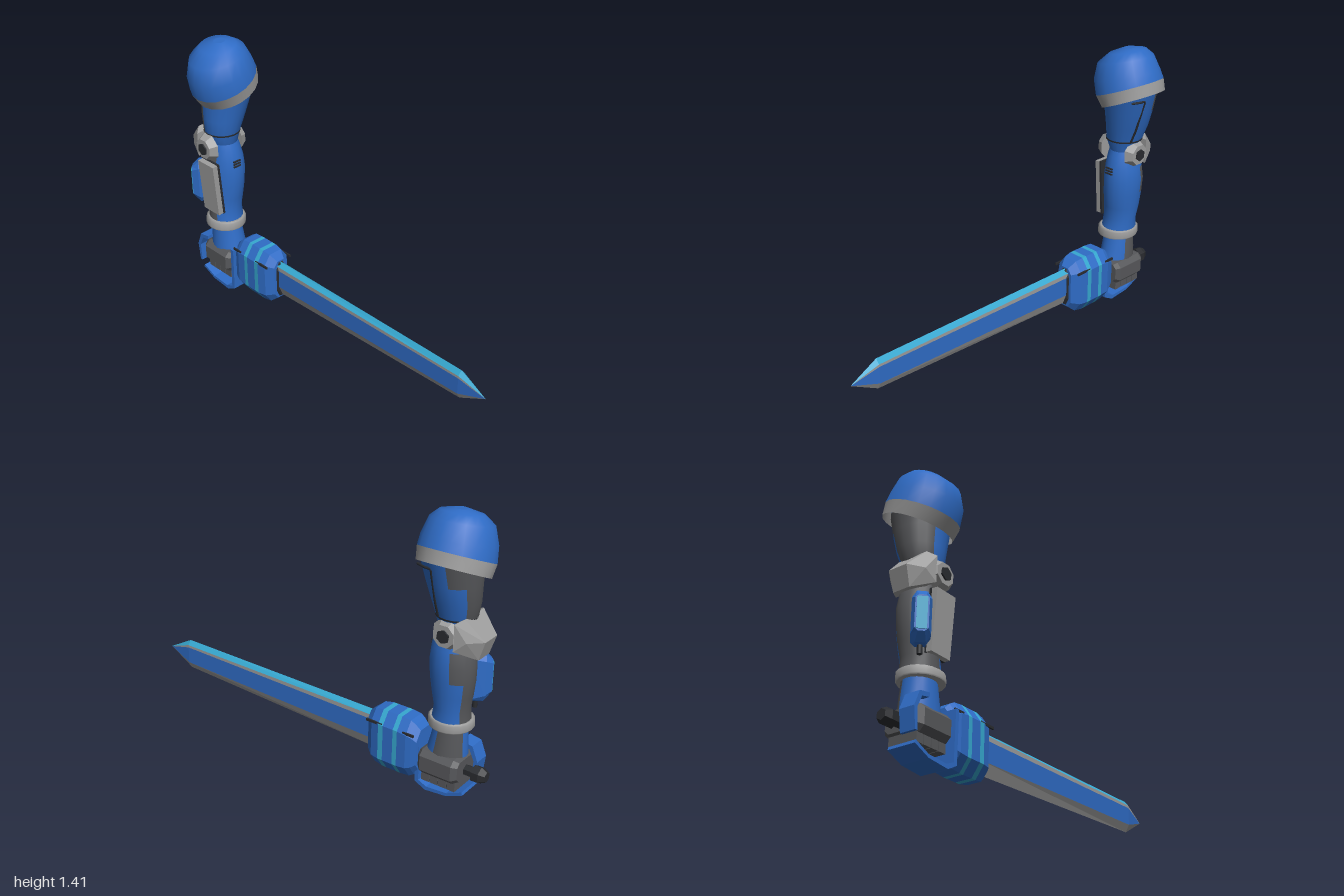
import * as THREE from 'three';
import { ConvexGeometry } from 'three/addons/geometries/ConvexGeometry.js';

const paint = (name, color, extra = {}) => Object.assign(new THREE.MeshStandardMaterial({ color, ...extra }), { name });

export function createModel() {
  const root = new THREE.Group();
  root.name = 'armWithSword';
  const blue = paint('armour blue', 0x2f6cc6, { side: THREE.DoubleSide });
  const grey = paint('light grey', 0x9d9d9d, { side: THREE.DoubleSide });
  const dark = paint('dark grey', 0x57585b);
  const teal = paint('teal', 0x36a8d0);
  const black = paint('black', 0x2a2c30);
  const mats = [blue, grey, dark, teal, black];
  const [B, G, D, T] = [0, 1, 2, 3];

  const add = (name, geo, mat, x = 0, y = 0, z = 0, parent = root) => {
    const m = new THREE.Mesh(geo, mat);
    m.name = name;
    m.position.set(x, y, z);
    parent.add(m);
    return m;
  };

  // Skin over a stack of equal-length rings; colour(i, j) picks a material index
  function skin(name, rings, colour, { flat = false, caps = true, parent = root } = {}) {
    const n = rings[0].length, pos = rings.flat(2), lists = mats.map(() => []);
    for (let i = 0; i < rings.length - 1; i++) for (let j = 0; j < n; j++) {
      const k = (j + 1) % n, a = i * n, b = a + n;
      lists[colour(i, j)].push(a + j, a + k, b + k, a + j, b + k, b + j);
    }
    if (caps) [0, rings.length - 1].forEach((r) => {
      const base = pos.length / 3;
      pos.push(...rings[r].flat());
      const c = colour(Math.min(r, rings.length - 2), 0);
      for (let j = 1; j < n - 1; j++)
        lists[c].push(base, ...(r ? [base + j, base + j + 1] : [base + j + 1, base + j]));
    });
    let geo = new THREE.BufferGeometry();
    geo.setAttribute('position', new THREE.Float32BufferAttribute(pos, 3));
    geo.setIndex(lists.flat());
    let start = 0;
    lists.forEach((l, m) => {
      if (l.length) geo.addGroup(start, l.length, m);
      start += l.length;
    });
    if (flat) geo = geo.toNonIndexed();
    geo.computeVertexNormals();
    return add(name, geo, mats, 0, 0, 0, parent);
  }

  // Horizontal ring from its extents, optionally sloped along x; angle 0 faces front
  const SEG = 20;
  const ring = ([y, x0, x1, z0, z1, slope = 0]) => Array.from({ length: SEG }, (_, j) => {
    const a = j / SEG * Math.PI * 2, dx = (x1 - x0) / 2 * Math.sin(a);
    return [(x0 + x1) / 2 + dx, y + dx * slope, (z0 + z1) / 2 + (z1 - z0) / 2 * Math.cos(a)];
  });
  // Chamfered rectangle facing z
  const oct = (cx, cy, z, hx, hy, ch, cv = ch) => [
    [hx, -hy + cv], [hx, hy - cv], [hx - ch, hy], [-hx + ch, hy],
    [-hx, hy - cv], [-hx, -hy + cv], [-hx + ch, -hy], [hx - ch, -hy],
  ].map(([x, y]) => [cx + x, cy + y, z]);
  const within = (j, lo, hi) => (j + 0.5) * 360 / SEG > lo && (j + 0.5) * 360 / SEG < hi;

  // Shoulder dome and its tilted rim
  const rimLow = [1.145, -0.125, 0.18, -0.96, -0.625, 0.43];
  const rimHigh = [1.203, -0.165, 0.167, -0.965, -0.615, 0.41];
  skin('shoulderRim', [rimLow, rimHigh].map(ring), () => G, { caps: false });
  skin('shoulderDome', [rimHigh, [1.265, -0.185, 0.15, -0.955, -0.62, 0.27],
    [1.345, -0.172, 0.11, -0.93, -0.645, 0.25], [1.388, -0.11, 0.065, -0.89, -0.69, 0.2],
    [1.407, -0.04, 0.02, -0.82, -0.76, 0.1]].map(ring), () => B);

  // Upper arm, with a dark back panel
  skin('upperArm', [[0.85, -0.085, 0.05, -0.865, -0.72], [0.92, -0.113, 0.07, -0.89, -0.7],
    [1.0, -0.115, 0.1, -0.908, -0.682], [1.09, -0.117, 0.127, -0.915, -0.66],
    [1.2, -0.12, 0.155, -0.92, -0.635]].map(ring),
  (i, j) => (within(j, i === 3 ? 110 : 145, 245) ? D : B));
  skin('elbowSeam', [[0.917, -0.115, 0.072, -0.892, -0.698], [0.925, -0.117, 0.074, -0.893, -0.697]].map(ring), () => 4);
  const seam = [[0.12, 1.17, -0.67], [0.14, 1.17, -0.72], [0.142, 1.17, -0.75], [0.118, 1.09, -0.75],
    [0.092, 1.0, -0.75], [0.062, 0.925, -0.75]].map((p) => new THREE.Vector3(...p));
  const seamPath = new THREE.CurvePath();
  for (let i = 1; i < seam.length; i++) seamPath.add(new THREE.LineCurve3(seam[i - 1], seam[i]));
  add('upperArmSeam', new THREE.TubeGeometry(seamPath, 30, 0.006, 5), black);

  // Forearm and cuff
  skin('forearm', [[0.4, -0.12, 0.06, -0.885, -0.7], [0.47, -0.115, 0.06, -0.88, -0.712],
    [0.54, -0.112, 0.07, -0.893, -0.7], [0.62, -0.112, 0.078, -0.903, -0.688],
    [0.7, -0.112, 0.084, -0.905, -0.684], [0.77, -0.105, 0.076, -0.893, -0.69],
    [0.83, -0.095, 0.062, -0.87, -0.705], [0.87, -0.088, 0.052, -0.865, -0.72]].map(ring),
  (i, j) => (within(j, i === 3 || i === 4 ? 108 : 145, 285) ? D : B));
  skin('cuff', [[0.365, -0.137, 0.068, -0.895, -0.685], [0.372, -0.14, 0.072, -0.9, -0.683],
    [0.405, -0.136, 0.072, -0.9, -0.683], [0.412, -0.125, 0.064, -0.89, -0.692]].map(ring), () => G);
  for (let i = 0; i < 3; i++)
    add('forearmVent', new THREE.BoxGeometry(0.045, 0.007, 0.008), black, -0.022, 0.742 + i * 0.015, -0.687);

  // Side panel on the forearm
  const panel = add('sidePanel', new THREE.BoxGeometry(0.035, 0.295, 0.12), grey, -0.125, 0.62, -0.785);
  panel.rotation.z = 0.07;
  add('sidePanelEdge', new THREE.BoxGeometry(0.012, 0.3, 0.125), black, 0.018, 0, 0, panel);

  // Glowing pack on the back corner of the forearm
  const pack = new THREE.Group();
  pack.name = 'forearmPack';
  pack.position.set(-0.015, 0.615, -0.795);
  pack.rotation.y = -Math.PI * 0.75;
  root.add(pack);
  skin('packBody', [oct(0, 0, 0.07, 0.04, 0.12, 0.02), oct(0, 0, 0.14, 0.043, 0.12, 0.02, 0.035),
    oct(0, 0, 0.175, 0.03, 0.085, 0.015)], () => B, { flat: true, parent: pack });
  add('packLight', new THREE.BoxGeometry(0.046, 0.15, 0.006), teal, 0, 0, 0.176, pack);
  add('packPin', new THREE.CylinderGeometry(0.012, 0.012, 0.06, 8), black, 0, -0.13, 0.11, pack);

  // Elbow hubs with bolts, mirrored about the arm's middle
  for (const s of [-1, 1]) {
    const hub = new THREE.Group();
    hub.name = s > 0 ? 'leftElbowHub' : 'rightElbowHub';
    hub.position.set(-0.032 + s * 0.1, 0.85, -0.795);
    hub.rotation.z = -s * Math.PI / 2;
    root.add(hub);
    const flatGeo = (a, b, h, n) => {
      const g = new THREE.CylinderGeometry(a, b, h, n).toNonIndexed();
      g.computeVertexNormals();
      return g.rotateY(Math.PI / 8);
    };
    add('hubDisc', flatGeo(0.055, 0.078, 0.04, 8), grey, 0, 0, 0, hub);
    add('hubBolt', flatGeo(0.032, 0.032, 0.02, 6), black, 0, 0.018, 0, hub);
  }

  // Faceted elbow guard
  const guardPoints = [];
  for (const s of [-1, 1])
    for (const [w, y, z] of [[0.115, 0.92, -0.845], [0.115, 0.79, -0.845], [0.08, 0.94, -0.875],
      [0.05, 0.845, -0.965], [0.045, 0.75, -0.935], [0.1, 0.84, -0.9]])
      guardPoints.push(new THREE.Vector3(-0.03 + s * w, y, z));
  add('elbowGuard', new ConvexGeometry(guardPoints), grey);

  // Wrist and fist
  skin('wrist', [[0.21, -0.115, 0.06, -0.885, -0.68], [0.29, -0.11, 0.055, -0.88, -0.7],
    [0.37, -0.105, 0.045, -0.875, -0.715]].map(ring), (i, j) => (within(j, 70, 165) ? D : B));
  skin('fist', [oct(-0.025, 0.175, -0.89, 0.085, 0.05, 0.02), oct(-0.025, 0.175, -0.865, 0.105, 0.062, 0.025),
    oct(-0.025, 0.175, -0.7, 0.105, 0.062, 0.025), oct(-0.025, 0.175, -0.68, 0.085, 0.05, 0.02)], () => D, { flat: true });
  for (let i = 0; i < 4; i++)
    add('finger', new THREE.BoxGeometry(0.15, 0.065, 0.042), dark, -0.025, 0.102, -0.855 + i * 0.046);
  add('fingerGap', new THREE.BoxGeometry(0.14, 0.055, 0.17), black, -0.025, 0.102, -0.787);

  // Sword handle and pommel
  const rod = (name, r0, r1, len, z) => {
    const g = new THREE.CylinderGeometry(r0, r1, len, 6).rotateX(-Math.PI / 2).toNonIndexed();
    g.computeVertexNormals();
    add(name, g, black, -0.02, 0.163, z);
  };
  rod('handle', 0.027, 0.027, 0.32, -0.79);
  rod('pommel', 0.026, 0.042, 0.03, -0.985);
  rod('pommelCollar', 0.042, 0.042, 0.035, -0.953);

  // Knuckle guard and back-of-hand plate: bent strips, profile in (z, y)
  const strip = (name, pts, xLeft, width) => {
    const shape = new THREE.Shape(pts.map((p) => new THREE.Vector2(...p)));
    const g = new THREE.ExtrudeGeometry(shape, { depth: width, bevelEnabled: false });
    add(name, g.rotateY(-Math.PI / 2), blue, xLeft);
  };
  strip('knuckleGuard', [[-0.64, 0.28], [-0.66, 0.28], [-0.665, 0.04], [-0.71, 0.02], [-0.82, 0.028],
    [-0.9, 0.065], [-0.905, 0.05], [-0.82, 0.012], [-0.7, 0.0], [-0.645, 0.03]], 0.025, 0.145);
  strip('handPlate', [[-0.84, 0.285], [-0.9, 0.275], [-0.93, 0.2], [-0.918, 0.1], [-0.904, 0.1],
    [-0.91, 0.2], [-0.885, 0.255], [-0.84, 0.265]], -0.05, 0.08);

  // Hilt block with teal bands and chamfered ends
  const cx = -0.022, cy = 0.19;
  const hilt = [[-0.66, 0.07, 0.11], [-0.635, 0.08, 0.135], [-0.61, 0.088, 0.15], [-0.562, 0.088, 0.155],
    [-0.538, 0.088, 0.155], [-0.482, 0.088, 0.155], [-0.455, 0.088, 0.155], [-0.41, 0.078, 0.148], [-0.37, 0.045, 0.115]];
  skin('hiltBlock', hilt.map(([z, hx, hy]) => oct(cx, cy, z, hx, hy, hx * 0.5, hx * 0.7)),
    (i) => (i === 3 || i === 5 ? T : B), { flat: true });
  for (const s of [-1, 1]) for (const [z, len] of [[-0.43, 0.09], [-0.62, 0.06]])
    add('hiltSeam', new THREE.BoxGeometry(0.008, 0.012, len), black, cx + s * 0.082, 0.285, z);
  skin('hiltCollar', [oct(cx, cy, -0.372, 0.032, 0.108, 0.018, 0.04), oct(cx, cy, -0.36, 0.026, 0.1, 0.015, 0.04)],
    () => 4, { flat: true });

  // Blade: teal upper bevel, grey trim, blue flat, grey lower bevel
  const bladeRing = (z, w, [edge, low, mid, high, spine]) =>
    [[0, edge], [w, low], [w, mid], [w, high], [0, spine], [-w, high], [-w, mid], [-w, low]]
      .map(([x, y]) => [cx + x, y, z]);
  const bladeColours = [G, B, G, T, T, G, B, G];
  skin('blade', [bladeRing(-0.45, 0.024, [0.088, 0.148, 0.252, 0.276, 0.297]),
    bladeRing(0.855, 0.02, [0.135, 0.172, 0.262, 0.276, 0.3]),
    bladeRing(1.0, 0.0005, [0.217, 0.218, 0.219, 0.22, 0.221])],
  (i, j) => bladeColours[j], { flat: true });

  return root;
}
